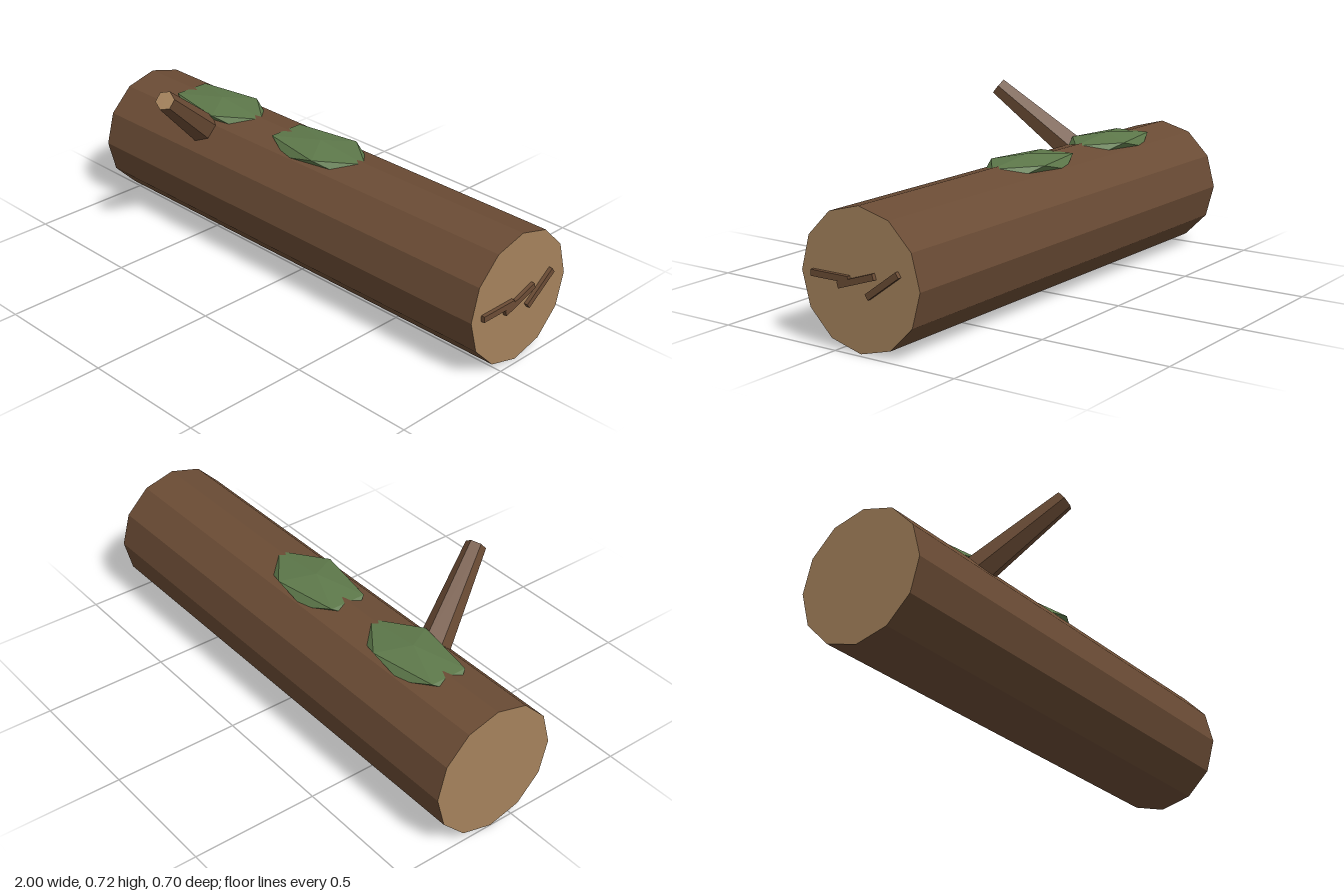
import * as THREE from 'three';

const bark = new THREE.MeshStandardMaterial({ color: 0x6b4c35 });
bark.name = 'bark brown';
const cutWood = new THREE.MeshStandardMaterial({ color: 0xa5825c });
cutWood.name = 'cut wood tan';
const moss = new THREE.MeshStandardMaterial({ color: 0x5d784a });
moss.name = 'moss green';

const AXIS_Y = 0.255, AXIS_Z = -0.098;

// Separate the faces so each one is shaded flat
function faceted(geometry) {
  const g = geometry.index ? geometry.toNonIndexed() : geometry;
  g.computeVertexNormals();
  return g;
}

function addMesh(parent, name, geometry, material, x, y, z) {
  const mesh = new THREE.Mesh(faceted(geometry), material);
  mesh.name = name;
  mesh.position.set(x, y, z);
  parent.add(mesh);
  return mesh;
}

export function createModel() {
  const group = new THREE.Group();
  group.name = 'fallenLog';

  // Trunk lying along x, with bark sides and sawn ends
  const start = -1, end = 0.982;
  const trunk = new THREE.CylinderGeometry(0.254, 0.254, end - start, 12);
  trunk.rotateZ(-Math.PI / 2);
  addMesh(group, 'trunk', trunk, [bark, cutWood, cutWood], (start + end) / 2, AXIS_Y, AXIS_Z);

  // Cracks across the sawn end
  [0, 0.32, 0.63].forEach((angle, i) => {
    const crack = new THREE.BoxGeometry(0.03, 0.023, 0.162);
    addMesh(group, 'crack' + (i + 1), crack, bark, 0.982, 0.255, 0.023 - i * 0.113).rotation.x = angle;
  });

  // Tapered branch stub leaning forward, its foot sunk in the trunk
  const tip = new THREE.Vector3(-0.4, 0.693, 0.327);
  const length = 0.48;
  const stub = new THREE.CylinderGeometry(0.039, 0.066, length, 6);
  stub.translate(0, -length / 2, 0);
  const branch = addMesh(group, 'branch', stub, [bark, cutWood, cutWood], tip.x, tip.y, tip.z);
  branch.rotation.set(0.86, 0, -0.3);

  // Flattened moss clumps on top, each a faceted ball with one corner up
  [-0.56, 0].forEach((x, i) => {
    const clump = new THREE.IcosahedronGeometry(1, 0);
    clump.rotateZ(-Math.atan(2 / (1 + Math.sqrt(5))));
    clump.scale(0.263, 0.04, 0.142);
    addMesh(group, 'mossPatch' + (i + 1), clump, moss, x, 0.487, AXIS_Z);
  });

  return group;
}
